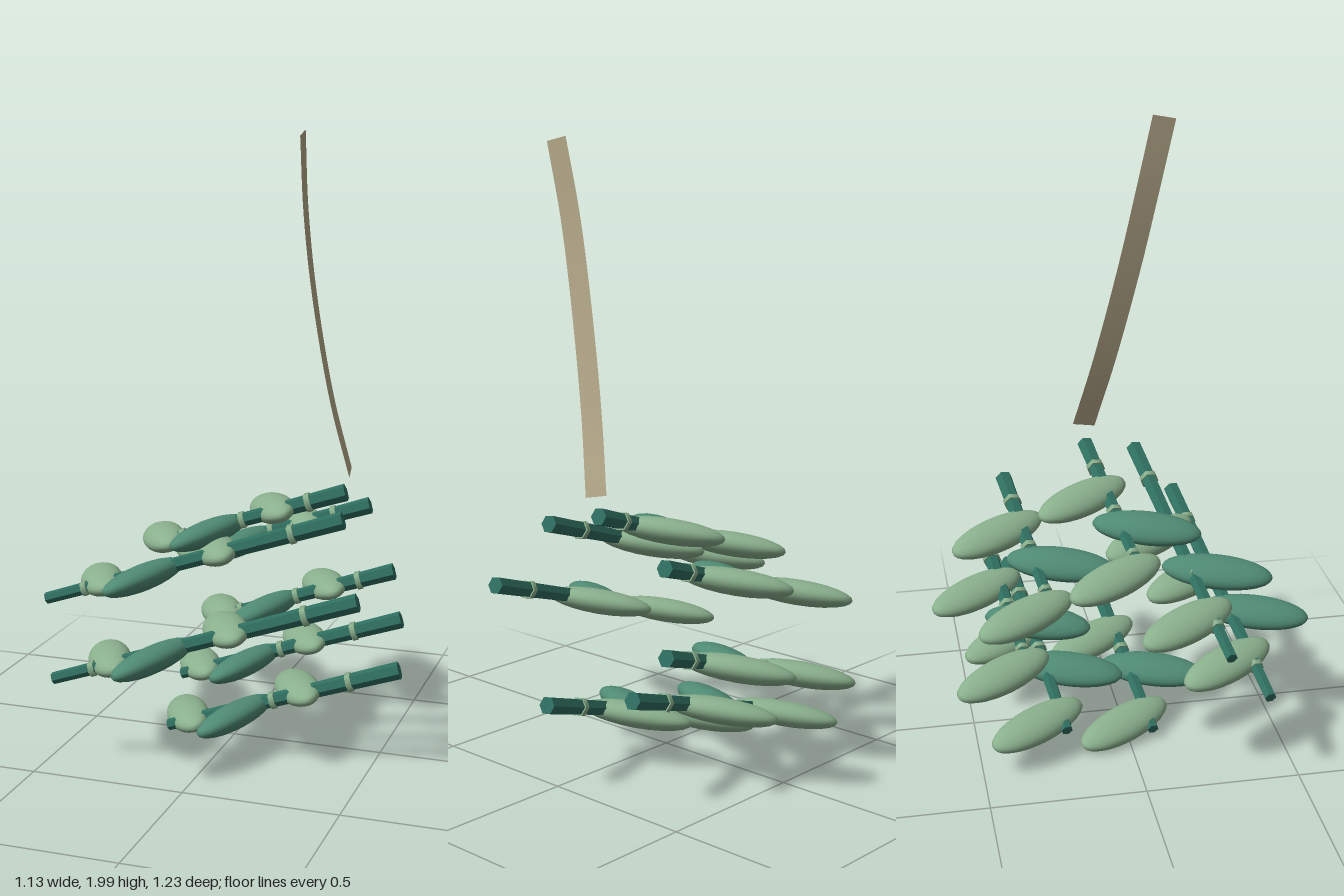
import * as THREE from 'three';

const mat = (color, extra = {}) => new THREE.MeshStandardMaterial({ color, ...extra });
const stemMat = mat(0x2f6e60, { flatShading: true });
const lightMat = mat(0x8ab08d);
const darkMat = mat(0x4f8a74);
const ribbonMat = mat(0xb5a98a, { side: THREE.DoubleSide });

// All stalks share one direction; STEP is the move per unit of -x travel
const STEP = new THREE.Vector3(-1, -0.325, 0.125);
const AXIS = STEP.clone().normalize();

// Three stalk sizes: x-run, ring positions and leaf centres along the run
const SIZES = {
  short: { run: 0.567, rings: [0.12, 0.335, 0.53], leaves: [0.265, 0.42, 0.63] },
  mid: { run: 0.76, rings: [0.16, 0.41, 0.66], leaves: [0.355, 0.51, 0.725] },
  long: { run: 0.96, rings: [0.16, 0.39, 0.61, 0.83], leaves: [0.435, 0.605, 0.81] },
};

// Thick end of each stalk
const STALKS = [
  ['short', 0.36, 0.855, -0.05],
  ['long', 0.40, 0.81, 0.13],
  ['short', 0.37, 0.745, -0.335],
  ['long', 0.49, 0.60, 0.285],
  ['short', 0.44, 0.50, -0.405],
  ['mid', 0.49, 0.36, -0.315],
  ['mid', 0.555, 0.29, -0.015],
];

const leafGeo = new THREE.SphereGeometry(1, 24, 16);
const radiusAt = (t) => THREE.MathUtils.lerp(0.029, 0.019, t);

// Tapered cylinder lying along the stalk direction
function rod(name, rThick, rThin, length, material) {
  const mesh = new THREE.Mesh(new THREE.CylinderGeometry(rThin, rThick, length, 6), material);
  mesh.quaternion.setFromUnitVectors(new THREE.Vector3(0, 1, 0), AXIS);
  mesh.name = name;
  return mesh;
}

// Flattened ellipsoid: long axis along dir, width axis close to the stalk
function leaf(dark) {
  const dir = (dark ? new THREE.Vector3(-0.33, -0.05, 0.94) : new THREE.Vector3(-0.49, -0.1, -0.87)).normalize();
  const width = AXIS.clone().addScaledVector(dir, -AXIS.dot(dir)).normalize();
  const flat = new THREE.Vector3().crossVectors(dir, width);
  const mesh = new THREE.Mesh(leafGeo, dark ? darkMat : lightMat);
  mesh.quaternion.setFromRotationMatrix(new THREE.Matrix4().makeBasis(dir, width, flat));
  mesh.scale.set(0.18, 0.068, 0.042);
  mesh.name = dark ? 'darkLeaf' : 'lightLeaf';
  return mesh;
}

function makeStalk([size, x, y, z]) {
  const { run, rings, leaves } = SIZES[size];
  const stalk = new THREE.Group();
  stalk.name = 'stalk';
  stalk.position.set(x, y, z);

  const stem = rod('stem', radiusAt(0), radiusAt(1), run * STEP.length(), stemMat);
  stem.position.copy(STEP).multiplyScalar(run / 2);
  stalk.add(stem);

  // Node rings
  for (const d of rings) {
    const r = radiusAt(d / run) + 0.005;
    const ring = rod('nodeRing', r, r, 0.018, lightMat);
    ring.position.copy(STEP).multiplyScalar(d);
    stalk.add(ring);
  }

  // Leaves alternate between the two sides
  leaves.forEach((d, i) => {
    const dark = i === 1;
    const blade = leaf(dark);
    blade.position.copy(STEP).multiplyScalar(d);
    blade.position.z += dark ? 0.08 : -0.087;
    stalk.add(blade);
  });
  return stalk;
}

// Thin curved strip rising above the stalks
function makeRibbon() {
  const path = new THREE.CatmullRomCurve3([
    new THREE.Vector3(0.373, 0.92, -0.053),
    new THREE.Vector3(0.326, 1.17, 0.012),
    new THREE.Vector3(0.289, 1.5, 0.09),
    new THREE.Vector3(0.276, 1.76, 0.147),
    new THREE.Vector3(0.28, 1.992, 0.2),
  ]);
  const geo = new THREE.PlaneGeometry(1, 1, 1, 24);
  const pos = geo.attributes.position;
  for (let i = 0; i < pos.count; i++) {
    const side = pos.getX(i);
    const t = pos.getY(i) + 0.5;
    const p = path.getPoint(t);
    const skew = THREE.MathUtils.lerp(0.013, 0.006, t);
    pos.setXYZ(i, p.x + side * skew, p.y - side * 0.016, p.z + side * 0.077);
  }
  geo.computeVertexNormals();
  const ribbon = new THREE.Mesh(geo, ribbonMat);
  ribbon.name = 'ribbon';
  return ribbon;
}

export function createModel() {
  const model = new THREE.Group();
  model.name = 'leafyStalks';
  for (const s of STALKS) model.add(makeStalk(s));
  model.add(makeRibbon());
  return model;
}
